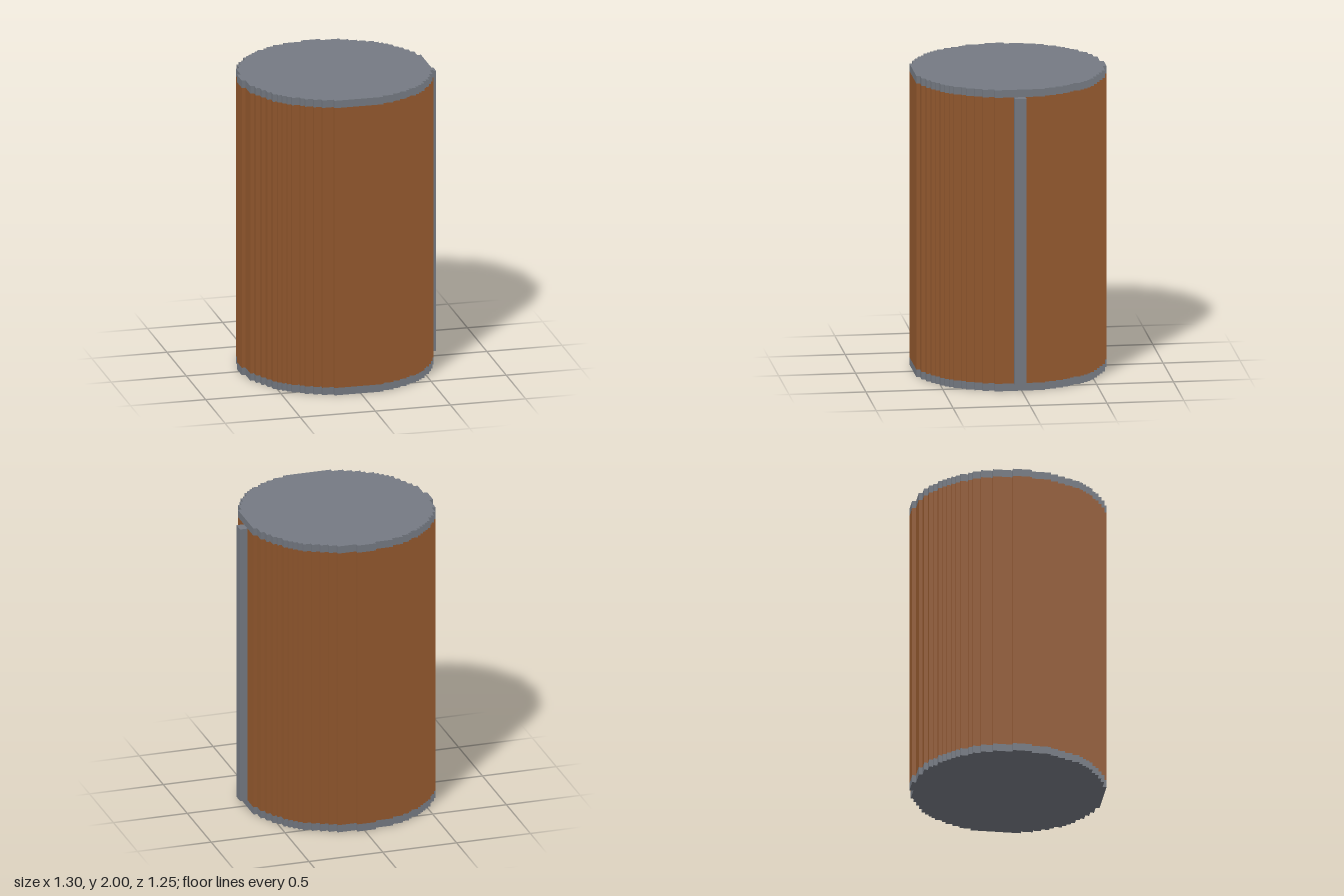
import * as THREE from 'three';

const UNIT = 1 / 40; // size of one grid step

// Outer corners (x, z) of the stepped round outline, one row per quadrant, in grid steps
const CORNERS = [
  [[2, -25], [7, -24], [9, -23], [11, -22], [13, -21], [15, -20], [16, -19], [17, -18], [18, -17], [19, -16], [20, -14], [21, -13], [22, -11], [23, -9], [24, -6]],
  [[24, 7], [23, 10], [22, 12], [21, 14], [20, 15], [19, 17], [18, 18], [17, 19], [16, 20], [14, 21], [13, 22], [11, 23], [9, 24], [6, 25]],
  [[-7, 25], [-10, 24], [-12, 23], [-14, 22], [-15, 21], [-17, 20], [-18, 19], [-19, 18], [-20, 17], [-21, 16], [-22, 14], [-23, 12], [-24, 10], [-25, 8], [-26, 3]],
  [[-26, -2], [-25, -7], [-24, -10], [-23, -12], [-22, -13], [-21, -15], [-20, -16], [-19, -17], [-18, -18], [-17, -19], [-16, -20], [-14, -21], [-13, -22], [-11, -23], [-8, -24], [-3, -25]],
];

// Joins the outer corners, adding the inner corner of each step
function steppedOutline() {
  const corners = CORNERS.flat();
  const smaller = (a, b) => (Math.abs(a) < Math.abs(b) ? a : b);
  const points = [];
  corners.forEach(([x, z], i) => {
    const [nx, nz] = corners[(i + 1) % corners.length];
    points.push(new THREE.Vector2(x * UNIT, -z * UNIT));
    if (x !== nx && z !== nz) {
      points.push(new THREE.Vector2(smaller(x, nx) * UNIT, -smaller(z, nz) * UNIT));
    }
  });
  return new THREE.Shape(points);
}

export function createModel() {
  const group = new THREE.Group();
  group.name = 'steppedDrum';

  const brown = new THREE.MeshStandardMaterial({ color: 0x94592e });
  brown.name = 'brown';
  const grey = new THREE.MeshStandardMaterial({ color: 0x757a83 });
  grey.name = 'grey';

  const outline = steppedOutline();
  const addSlab = (name, y0, y1, material) => {
    const geometry = new THREE.ExtrudeGeometry(outline, { depth: y1 - y0, bevelEnabled: false });
    geometry.rotateX(-Math.PI / 2);
    const mesh = new THREE.Mesh(geometry, material);
    mesh.name = name;
    mesh.position.y = y0;
    group.add(mesh);
  };

  // Drum wall between two end plates
  addSlab('bottomPlate', 0, 0.05, grey);
  addSlab('body', 0.05, 1.95, brown);
  addSlab('topPlate', 1.95, 2, grey);

  // Upright strip on the side
  const strip = new THREE.Mesh(new THREE.BoxGeometry(0.05, 1.9, 0.075), grey);
  strip.name = 'sideStrip';
  strip.position.set(0.625, 1, 0.0125);
  group.add(strip);

  return group;
}
